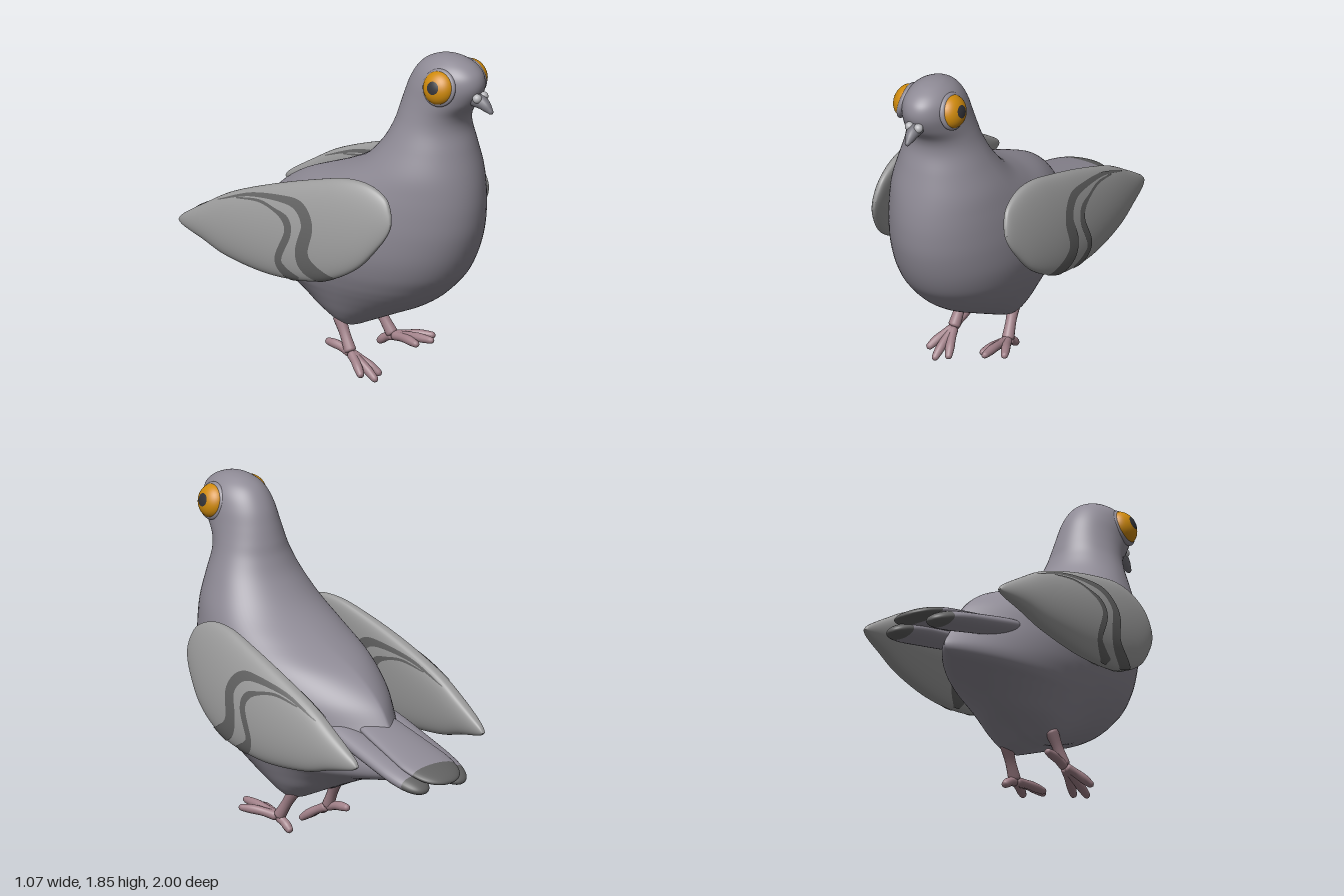
import * as THREE from 'three';
import { mergeVertices } from 'three/addons/utils/BufferGeometryUtils.js';
import { ParametricGeometry } from 'three/addons/geometries/ParametricGeometry.js';

const mat = (color, side = THREE.FrontSide) => new THREE.MeshStandardMaterial({ color, side });
const plumage = mat(0x8f8b96), wingGrey = mat(0x9c9c9c), dark = mat(0x626262);
const bandDark = mat(0x626262, THREE.DoubleSide);
const orange = mat(0xcf8a0c), black = mat(0x333338), skin = mat(0xa08088);
const horn = mat(0x77767e), cereGrey = mat(0xb4b4b8);
const { sin, cos, sqrt, max, min, abs, sign, PI } = Math;

function mesh(name, geometry, material) {
  const m = new THREE.Mesh(geometry, material);
  m.name = name;
  return m;
}

// Welds seams so that normals run smoothly all round
function smooth(geometry) {
  geometry.deleteAttribute('uv');
  geometry.deleteAttribute('normal');
  const g = mergeVertices(geometry, 1e-5);
  g.computeVertexNormals();
  return g;
}

// fn(u, v) returns [x, y, z]
const surface = (fn, nu, nv) =>
  smooth(new ParametricGeometry((u, v, p) => p.set(...fn(u, v)), nu, nv));

// Smooth interpolation through rows of numbers, s from 0 to 1
function along(rows, s) {
  const n = rows.length - 1, p = min(max(s, 0), 1) * n, i = min(Math.floor(p), n - 1), t = p - i;
  const [a, b, c, d] = [-1, 0, 1, 2].map(k => rows[min(max(i + k, 0), n)]);
  return b.map((q, k) => q + 0.5 * t * (c[k] - a[k] + t * (2 * a[k] - 5 * q + 4 * c[k] - d[k]
    + t * (3 * (q - c[k]) + d[k] - a[k]))));
}

// Tapered tube with rounded ends; radii are spread along the path
function limb(points, radii, cap = 0.08) {
  const curve = new THREE.CatmullRomCurve3(points.map(p => new THREE.Vector3(...p)));
  const n = 28, sides = 14, g = new THREE.TubeGeometry(curve, n, 1, sides);
  const pos = g.attributes.position, v = new THREE.Vector3();
  for (let i = 0; i <= n; i++) {
    const t = i / n, e = min(1, min(t, 1 - t) / cap), c = curve.getPointAt(t);
    const r = along(radii.map(q => [q]), t)[0] * sqrt(max(0, 1 - (1 - e) ** 2));
    for (let j = 0; j <= sides; j++) {
      const k = i * (sides + 1) + j;
      v.fromBufferAttribute(pos, k).sub(c).multiplyScalar(r).add(c);
      pos.setXYZ(k, v.x, v.y, v.z);
    }
  }
  return smooth(g);
}

// Body slices: height, front z, back z, half width, z of widest point
const bodyRows = [
  [0.255, 0.12, 0.12, 0, 0.12], [0.259, 0.19, 0.05, 0.125, 0.12], [0.29, 0.26, -0.02, 0.18, 0.12],
  [0.35, 0.385, -0.14, 0.225, 0.13], [0.42, 0.52, -0.27, 0.263, 0.15], [0.47, 0.6, -0.42, 0.288, 0.17],
  [0.51, 0.65, -0.6, 0.307, 0.19], [0.56, 0.702, -0.655, 0.328, 0.21], [0.64, 0.77, -0.61, 0.355, 0.23],
  [0.75, 0.826, -0.53, 0.376, 0.25], [0.88, 0.866, -0.435, 0.38, 0.27], [1, 0.88, -0.26, 0.366, 0.32],
  [1.11, 0.877, 0.01, 0.339, 0.4], [1.22, 0.86, 0.21, 0.302, 0.49], [1.35, 0.828, 0.335, 0.248, 0.55],
  [1.46, 0.8, 0.395, 0.205, 0.585], [1.54, 0.815, 0.42, 0.183, 0.61], [1.62, 0.878, 0.445, 0.168, 0.64],
  [1.7, 0.915, 0.475, 0.157, 0.675], [1.765, 0.908, 0.515, 0.139, 0.7], [1.81, 0.867, 0.56, 0.108, 0.71],
  [1.84, 0.805, 0.62, 0.066, 0.715], [1.852, 0.755, 0.67, 0.03, 0.715], [1.855, 0.715, 0.715, 0, 0.715],
];

function bodyPoint(u, v) {
  const [y, front, back, w, mid] = along(bodyRows, v);
  const c = cos(2 * PI * u), s = sin(2 * PI * u);
  // the further a slice reaches back, the more it narrows there
  const taper = c < 0 ? 1 + 1.2 * max(0, mid - back - 0.28) : 1;
  const x = sign(s) * max(w, 0) * abs(s) ** taper;
  // shallow groove between the thighs
  const groove = 0.04 * Math.exp(-((x / 0.07) ** 2)) * max(0, 1 - (y - 0.255) / 0.15);
  return [x, y + groove, mid + c * (c > 0 ? front - mid : mid - back)];
}

// Wing outline: z, top y, bottom y
const wingRows = [
  [0.637, 1, 1], [0.625, 1.06, 0.95], [0.58, 1.13, 0.875], [0.47, 1.176, 0.745], [0.33, 1.18, 0.655],
  [0.17, 1.145, 0.602], [-0.1, 1.065, 0.578], [-0.395, 0.955, 0.605], [-0.58, 0.85, 0.655],
  [-0.73, 0.755, 0.69], [-0.768, 0.713, 0.713],
];
const wingBend = z => (z + 0.065) / 0.705;
const wingMid = (y, z) => 0.385 + 0.25 * (1.18 - y) - 0.18 * (1.18 - y) ** 2 - 0.035 * wingBend(z) ** 2;
const wingThick = z => 0.073 * sqrt(max(0, 1 - wingBend(z) ** 2));
const fullness = 0.75;

function wingPoint(u, v, side) {
  const [z, top, bottom] = along(wingRows, v), a = 2 * PI * u * side, s = sin(a);
  const y = (top + bottom) / 2 + (top - bottom) / 2 * cos(a);
  return [side * (wingMid(y, z) + wingThick(z) * sign(s) * abs(s) ** fullness), y, z];
}

// Wing bars: z, y, half width
const bars = [
  [[0.37, 0.632, 0.012], [0.26, 0.65, 0.04], [0.17, 0.7, 0.048], [0.143, 0.78, 0.04], [0.165, 0.91, 0.036],
    [0.105, 0.995, 0.03], [-0.01, 1.015, 0.018], [-0.25, 0.983, 0.009], [-0.475, 0.9, 0.002]],
  [[0.1, 0.595, 0.03], [0.02, 0.64, 0.03], [-0.01, 0.705, 0.022], [0.045, 0.845, 0.022],
    [0.025, 0.915, 0.022], [-0.055, 0.95, 0.01], [-0.18, 0.97, 0.007], [-0.34, 0.945, 0.003]],
];

// Lays a bar on the outer (face 1) or inner (face -1) surface of a wing
function barPoint(rows, u, v, side, face) {
  const [z0, y0, w] = along(rows, v), p = along(rows, v - 0.02), q = along(rows, v + 0.02);
  const k = (2 * u - 1) * w / Math.hypot(q[0] - p[0], q[1] - p[1]);
  const z = z0 - k * (q[1] - p[1]), yRaw = y0 + k * (q[0] - p[0]);
  let lo = 0, hi = 1;
  for (let i = 0; i < 24; i++) {
    const m = (lo + hi) / 2;
    if (along(wingRows, m)[0] > z) lo = m; else hi = m;
  }
  const [, top, bottom] = along(wingRows, lo), mid = (top + bottom) / 2, h = (top - bottom) / 2 + 0.004;
  const c = min(max((yRaw - mid) / h, -0.985), 0.985), y = mid + h * c;
  return [side * (wingMid(y, z) + face * (wingThick(z) + 0.004) * sqrt(1 - c * c) ** fullness), y, z];
}

function wing(side) {
  const g = new THREE.Group();
  g.name = side > 0 ? 'leftWing' : 'rightWing';
  g.add(mesh('wingBlade', surface((u, v) => wingPoint(u, v, side), 64, 80), wingGrey));
  for (const rows of bars) for (const face of [1, -1])
    g.add(mesh('wingBar', surface((u, v) => barPoint(rows, u, v, side, face), 8, 80), bandDark));
  return g;
}

// Rounded feather with a dark tip, a little narrower at its root
function feather(name, from, to, w, thick, split) {
  const part = (t0, t1) => surface((u, v) => {
    const t = t0 + (t1 - t0) * v, a = 2 * PI * u;
    const r = sqrt(max(0, 1 - abs(2 * t - 1) ** 5));
    const [x, y, z] = from.map((f, i) => f + (to[i] - f) * t);
    return [x + w * (0.7 + 0.3 * min(1, t * 1.4)) * r * sin(a), y + thick * r * cos(a), z];
  }, 32, 40);
  const g = new THREE.Group();
  g.name = name;
  g.add(mesh('featherShaft', part(0, split), plumage), mesh('featherTip', part(split, 1), dark));
  return g;
}

function eye(side) {
  const g = new THREE.Group();
  g.name = side > 0 ? 'leftEye' : 'rightEye';
  const add = (name, r, depth, material, angle = PI) => {
    const m = mesh(name, new THREE.SphereGeometry(1, 36, 24, 0, 2 * PI, 0, angle), material);
    m.scale.set(r, depth, r);
    g.add(m);
  };
  add('eyeRim', 0.1, 0.034, plumage);
  add('iris', 0.09, 0.067, orange);
  add('pupil', 0.0912, 0.0685, black, 0.39);
  g.position.set(side * 0.133, 1.715, 0.748);
  g.quaternion.setFromUnitVectors(new THREE.Vector3(0, 1, 0), new THREE.Vector3(side * 0.95, 0.25, 0.1).normalize());
  return g;
}

// Leg with three front toes and one back toe
function leg(name, hip, ankle, toes) {
  const g = new THREE.Group();
  g.name = name;
  g.add(mesh('shank', limb([hip, hip.map((h, i) => (h + ankle[i]) / 2), ankle], [0.036, 0.028, 0.033]), skin));
  for (const tip of toes) {
    const knuckle = ankle.map((a, i) => (a + tip[i]) / 2 + (i === 1 ? 0.008 : 0));
    g.add(mesh('toe', limb([ankle, knuckle, tip], [0.027, 0.023, 0.024, 0.017], 0.1), skin));
  }
  return g;
}

export function createModel() {
  const bird = new THREE.Group();
  bird.name = 'bird';
  bird.add(mesh('body', surface(bodyPoint, 72, 138), plumage));

  for (const side of [1, -1]) {
    bird.add(wing(side), eye(side));
    bird.add(feather('sideTailFeather', [side * 0.165, 0.77, -0.2], [side * 0.125, 0.56, -0.95], 0.095, 0.048, 0.88));
    const cere = mesh('cere', new THREE.SphereGeometry(0.025, 20, 14), cereGrey);
    cere.position.set(side * 0.026, 1.664, 0.915);
    bird.add(cere);
  }
  bird.add(feather('middleTailFeather', [0, 0.81, -0.25], [0, 0.598, -1], 0.155, 0.038, 0.83));

  // Beak, hooked slightly downwards
  bird.add(mesh('beak', limb([[0, 1.65, 0.86], [0, 1.637, 0.93], [0, 1.592, 0.998]], [0.04, 0.038, 0.028, 0.011]), horn));

  bird.add(leg('leftLeg', [0.135, 0.31, 0.08], [0.155, 0.135, 0.19],
    [[0.16, 0.165, 0.465], [0.25, 0.155, 0.4], [0.11, 0.14, 0.4], [0.155, 0.075, 0.09]]));
  bird.add(leg('rightLeg', [-0.15, 0.31, 0.08], [-0.17, 0.125, 0.18],
    [[-0.185, 0.015, 0.37], [-0.25, 0.045, 0.32], [-0.115, 0.025, 0.34], [-0.17, 0.155, 0.01]]));
  return bird;
}
